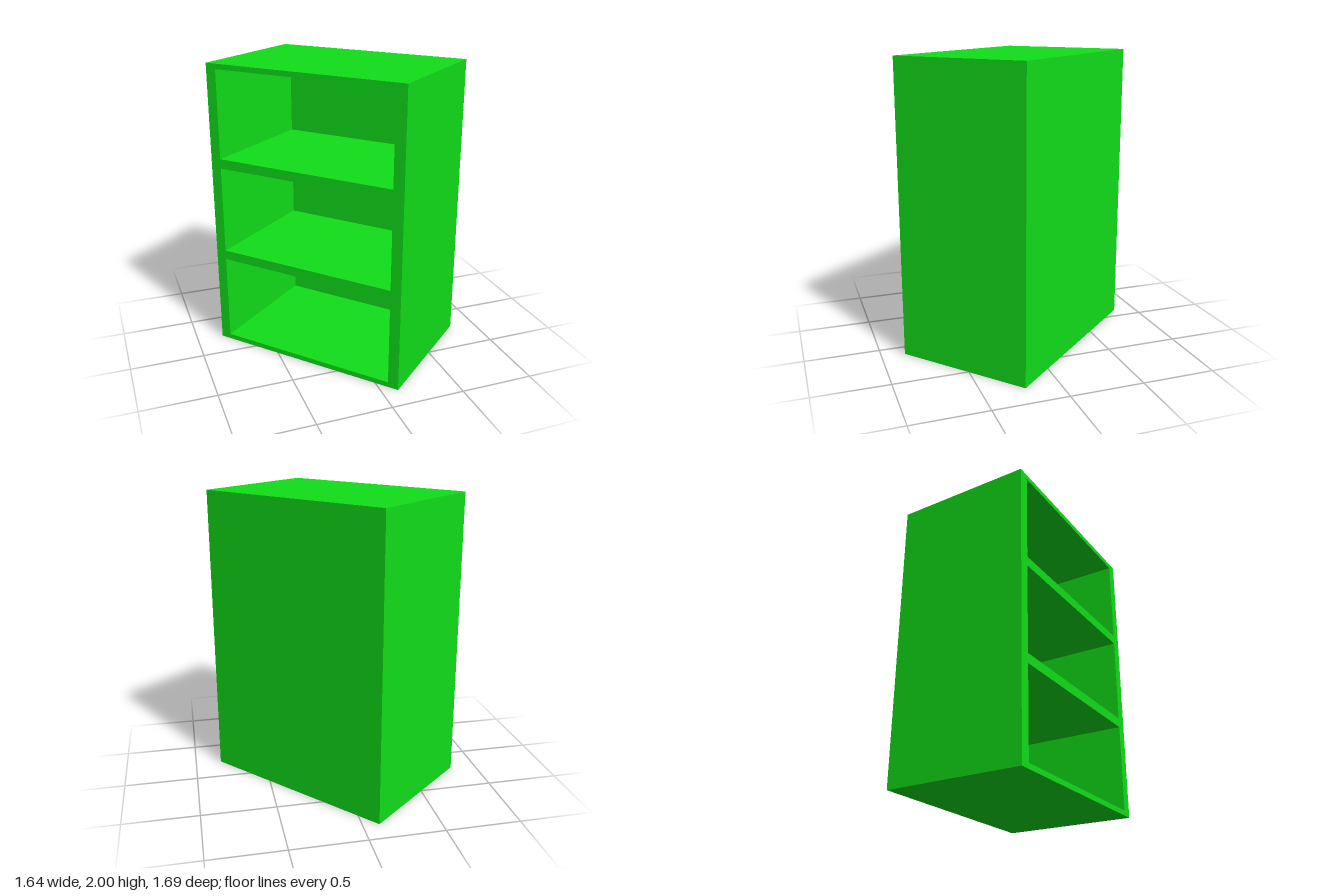
import * as THREE from 'three';

const WIDTH = 1.415, HEIGHT = 2, DEPTH = 0.943;
const SIDE = 0.073, BACK = 0.05;
// bottom and top of each open compartment
const BAYS = [[0.035, 0.635], [0.7, 1.3], [1.365, 1.965]];

function trace(path, x0, y0, x1, y1) {
  path.moveTo(x0, y0);
  path.lineTo(x1, y0);
  path.lineTo(x1, y1);
  path.lineTo(x0, y1);
  path.closePath();
  return path;
}

export function createModel() {
  const bookcase = new THREE.Group();
  bookcase.name = 'bookcase';
  const green = new THREE.MeshStandardMaterial({ color: 0x11de19 });
  const half = WIDTH / 2;

  // sides, top, bottom and shelves as one flush frame
  const outline = trace(new THREE.Shape(), -half, 0, half, HEIGHT);
  for (const [low, high] of BAYS) {
    outline.holes.push(trace(new THREE.Path(), -half + SIDE, low, half - SIDE, high));
  }
  const frame = new THREE.Mesh(
    new THREE.ExtrudeGeometry(outline, { depth: DEPTH - BACK, bevelEnabled: false }),
    green
  );
  frame.name = 'shelfFrame';
  frame.position.z = -DEPTH / 2 + BACK;

  // closed back
  const back = new THREE.Mesh(new THREE.BoxGeometry(WIDTH, HEIGHT, BACK), green);
  back.name = 'backPanel';
  back.position.set(0, HEIGHT / 2, -DEPTH / 2 + BACK / 2);

  // the whole case stands turned about its upright axis
  bookcase.add(frame, back);
  bookcase.rotation.y = -0.855;

  const model = new THREE.Group();
  model.name = 'model';
  model.add(bookcase);
  return model;
}
